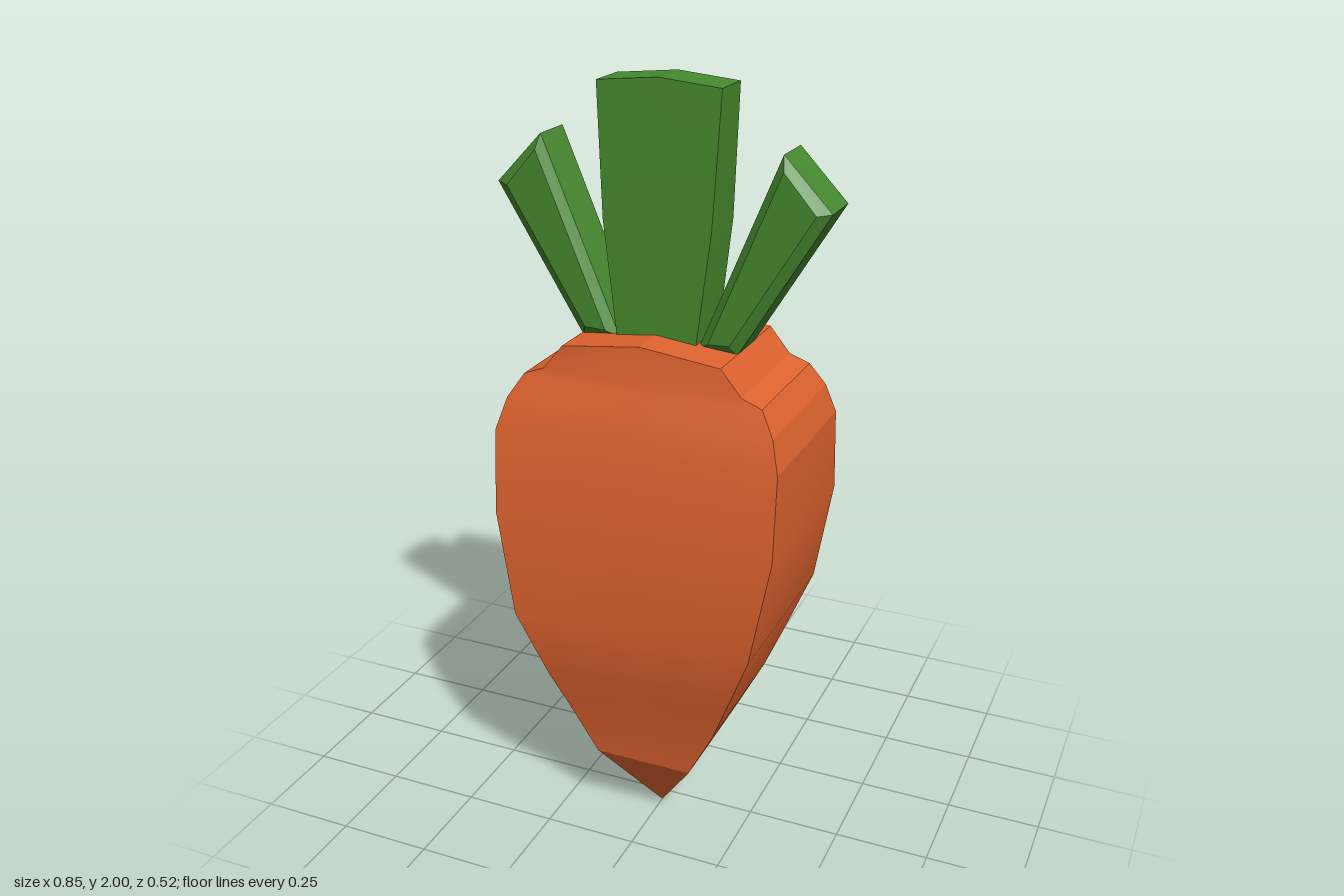
import * as THREE from 'three';
import { toCreasedNormals, mergeGeometries } from 'three/addons/utils/BufferGeometryUtils.js';

// Quads between point columns that run upward, listed left to right as seen from outside
function strip(columns, crease) {
  const pos = [];
  for (let c = 0; c + 1 < columns.length; c++) {
    const a = columns[c], b = columns[c + 1];
    for (let i = 0; i + 1 < a.length; i++) {
      for (const p of [a[i], b[i], b[i + 1], a[i], b[i + 1], a[i + 1]]) pos.push(...p);
    }
  }
  const geo = new THREE.BufferGeometry();
  geo.setAttribute('position', new THREE.Float32BufferAttribute(pos, 3));
  return toCreasedNormals(geo, crease);
}

// Four-sided solid from sections [y, half width, half depth at corners, half depth at middle],
// with the middle of the top raised to peakY
function slab(sections, peakY) {
  const last = sections.length - 1;
  const column = (sx, sz) => sections.map(([y, w, edge, mid], i) =>
    [sx * w, sx === 0 && i === last ? peakY : y, sz * (sx === 0 ? mid : edge)]);
  const [fl, fc, fr] = [-1, 0, 1].map(s => column(s, 1));
  const [bl, bc, br] = [-1, 0, 1].map(s => column(s, -1));
  const cap = (f, b) => [f[last], b[last]];
  return mergeGeometries([
    strip([fl, fc, fr], 0.35),
    strip([br, bc, bl], 0.35),
    strip([fr, br], 0.25),
    strip([bl, fl], 0.25),
    strip([cap(fl, bl), cap(fc, bc), cap(fr, br)], 0.1),
  ]);
}

export function createModel() {
  const orange = new THREE.MeshStandardMaterial({ color: 0xdf632f });
  orange.name = 'carrotOrange';
  const green = new THREE.MeshStandardMaterial({ color: 0x478a2f });
  green.name = 'leafGreen';

  const group = new THREE.Group();
  group.name = 'carrot';
  const add = (name, geometry, material) => {
    const mesh = new THREE.Mesh(geometry, material);
    mesh.name = name;
    group.add(mesh);
  };

  // Root: pointed at the bottom, with stepped shoulders
  add('root', slab([
    [0, 0, 0.042, 0.042],
    [0.21, 0.133, 0.172, 0.172],
    [0.36, 0.21, 0.195, 0.195],
    [0.45, 0.247, 0.222, 0.222],
    [0.64, 0.323, 0.258, 0.258],
    [0.92, 0.373, 0.245, 0.245],
    [1.14, 0.373, 0.225, 0.225],
    [1.22, 0.35, 0.2, 0.21],
    [1.28, 0.313, 0.174, 0.196],
    [1.3, 0.26, 0.172, 0.191],
    [1.365, 0.207, 0.172, 0.172],
  ], 1.39), orange);

  // Middle leaf: widens and thins toward the top
  add('middleLeaf', slab([
    [1.36, 0.103, 0.076, 0.076],
    [1.66, 0.14, 0.07, 0.07],
    [1.985, 0.157, 0.058, 0.058],
  ], 2.0), green);

  // Side leaves: bevelled blades leaning outward
  for (const [name, s] of [['leftLeaf', 1], ['rightLeaf', -1]]) {
    const shape = new THREE.Shape([[0.205, 1.36], [0.427, 1.725], [0.307, 1.85], [0.105, 1.365]]
      .map(([x, y]) => new THREE.Vector2(s * x, y)));
    const blade = new THREE.ExtrudeGeometry(shape, {
      depth: 0.116, bevelThickness: 0.019, bevelSize: 0.026, bevelOffset: -0.026, bevelSegments: 1,
    });
    blade.translate(0, 0, -0.058);
    add(name, toCreasedNormals(blade, 0.3), green);
  }
  return group;
}
